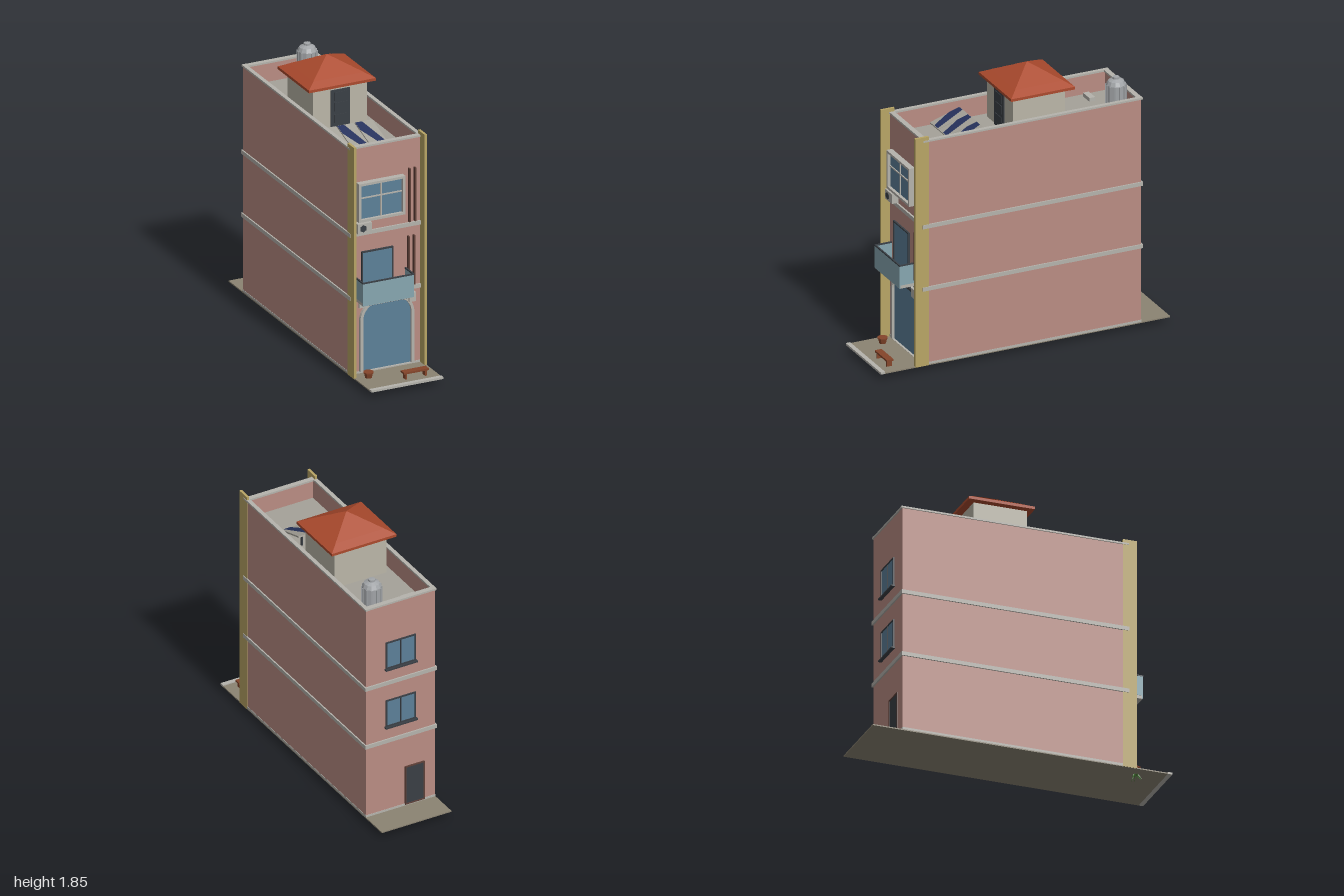
import * as THREE from 'three';

const C = {
  wall: 0xb98c83, trim: 0xb5b3ac, yellow: 0xb8a565, glass: 0x5c8098, paleGlass: 0x86a6b0, dark: 0x3a3f45,
  roof: 0xab4a2d, cream: 0xbab6a8, deck: 0xa5a299, ground: 0x8b8372, wood: 0x84452a, slat: 0x5e4038,
  panel: 0x26325c, tank: 0xa2a5a8, leaf: 0x3c6b2c,
};
const mats = {};
const mat = (c) => (mats[c] ??= new THREE.MeshStandardMaterial({ color: C[c], flatShading: true, side: THREE.DoubleSide }));

function add(parent, name, geo, color, x = 0, y = 0, z = 0) {
  const m = new THREE.Mesh(geo, mat(color));
  m.name = name;
  m.position.set(x, y, z);
  parent.add(m);
  return m;
}
// Box given by its lower and upper limits on each axis
function box(parent, name, color, x0, x1, y0, y1, z0, z1) {
  return add(parent, name, new THREE.BoxGeometry(x1 - x0, y1 - y0, z1 - z0), color, (x0 + x1) / 2, (y0 + y1) / 2, (z0 + z1) / 2);
}
function group(parent, name) {
  const g = new THREE.Group();
  g.name = name;
  parent.add(g);
  return g;
}
// Four bars around a rectangular opening
function frame(parent, name, color, x0, x1, y0, y1, z0, z1, t) {
  box(parent, name, color, x0, x0 + t, y0, y1, z0, z1);
  box(parent, name, color, x1 - t, x1, y0, y1, z0, z1);
  box(parent, name, color, x0 + t, x1 - t, y0, y0 + t, z0, z1);
  box(parent, name, color, x0 + t, x1 - t, y1 - t, y1, z0, z1);
}
function archShape(r, spring, rise, base) {
  const s = new THREE.Shape();
  s.moveTo(-r, base);
  s.lineTo(r, base);
  s.lineTo(r, spring);
  s.absellipse(0, spring, r, rise, 0, Math.PI, false);
  s.lineTo(-r, base);
  return s;
}

const FRONT = 0.70, BACK = -0.80, DECK = 1.45, TOP = 1.575;

function buildShell(root) {
  const g = group(root, 'buildingShell');
  box(g, 'ground', 'ground', -0.25, 0.25, 0.05, 0.058, -1, 0.97);
  box(g, 'curb', 'trim', -0.25, 0.25, 0.05, 0.064, 0.97, 1);
  box(g, 'walls', 'wall', -0.248, 0.248, 0.058, DECK - 0.004, BACK, FRONT);
  box(g, 'roofDeck', 'deck', -0.23, 0.23, DECK - 0.004, DECK, BACK + 0.02, FRONT - 0.02);
  box(g, 'plinth', 'trim', -0.25, 0.25, 0.056, 0.072, BACK - 0.003, FRONT + 0.003);
  for (const y of [0.575, 1.0]) box(g, 'floorBand', 'trim', -0.257, 0.257, y - 0.013, y + 0.013, BACK - 0.01, FRONT + 0.012);
  // Parapet with its coping
  for (const s of [-1, 1]) {
    const a = s < 0 ? -0.248 : 0.228, c = s < 0 ? -0.255 : 0.228;
    box(g, 'parapetSide', 'wall', a, a + 0.02, DECK - 0.004, TOP, BACK, FRONT);
    box(g, 'copingSide', 'trim', c, c + 0.027, TOP, TOP + 0.012, BACK - 0.01, FRONT + 0.008);
    box(g, 'pilaster', 'yellow', s < 0 ? -0.253 : 0.236, s < 0 ? -0.236 : 0.253, 0.052, 1.61, 0.67, 0.763);
  }
  for (const [name, z] of [['Back', BACK], ['Front', FRONT - 0.02]]) {
    box(g, 'parapet' + name, 'wall', -0.228, 0.228, DECK - 0.004, TOP, z, z + 0.02);
    box(g, 'coping' + name, 'trim', -0.228, 0.228, TOP, TOP + 0.012, z - 0.008, z + 0.026);
  }
}

function buildFront(root) {
  const g = group(root, 'frontFacade');
  // Arched entrance
  add(g, 'entranceGlass', new THREE.ExtrudeGeometry(archShape(0.167, 0.42, 0.125, 0.072), { depth: 0.005, bevelEnabled: false, curveSegments: 10 }), 'glass', 0, 0, FRONT);
  const surround = archShape(0.187, 0.42, 0.138, 0.072);
  surround.holes.push(archShape(0.167, 0.42, 0.125, 0.073));
  add(g, 'entranceSurround', new THREE.ExtrudeGeometry(surround, { depth: 0.02, bevelEnabled: false, curveSegments: 10 }), 'trim', 0, 0, FRONT);
  box(g, 'archShoulder', 'trim', -0.19, -0.12, 0.5, 0.55, FRONT, FRONT + 0.015);
  box(g, 'archShoulder', 'trim', 0.12, 0.19, 0.5, 0.55, FRONT, FRONT + 0.015);
  box(g, 'entranceCanopy', 'dark', -0.135, 0.13, 0.515, 0.53, FRONT, FRONT + 0.035);
  box(g, 'wallUnit', 'trim', 0.145, 0.19, 0.49, 0.55, FRONT, FRONT + 0.04);
  // Balcony and its door
  box(g, 'balconyDoorGlass', 'glass', -0.165, 0.04, 0.59, 0.87, FRONT, FRONT + 0.006);
  frame(g, 'balconyDoorFrame', 'dark', -0.173, 0.046, 0.588, 0.876, FRONT, FRONT + 0.012, 0.009);
  box(g, 'balconySlab', 'trim', -0.215, 0.136, 0.553, 0.575, FRONT, 0.815);
  box(g, 'balconyFrontGlass', 'paleGlass', -0.217, 0.138, 0.555, 0.705, 0.81, 0.816);
  box(g, 'balconyFrontRail', 'dark', -0.219, 0.14, 0.705, 0.713, 0.808, 0.818);
  for (const x of [-0.217, 0.132]) {
    box(g, 'balconySideGlass', 'paleGlass', x, x + 0.006, 0.575, 0.705, FRONT, 0.81);
    box(g, 'balconySideRail', 'dark', x - 0.002, x + 0.008, 0.705, 0.713, FRONT, 0.81);
  }
  // Projecting upper window
  box(g, 'upperWindowGlass', 'glass', -0.195, 0.1, 1.1, 1.335, FRONT, FRONT + 0.02);
  frame(g, 'upperWindowFrame', 'trim', -0.207, 0.115, 1.088, 1.347, FRONT, FRONT + 0.04, 0.016);
  box(g, 'upperWindowMullion', 'trim', -0.05, -0.042, 1.104, 1.331, FRONT, FRONT + 0.027);
  box(g, 'upperWindowTransom', 'trim', -0.191, 0.099, 1.24, 1.248, FRONT, FRONT + 0.027);
  // Air conditioner with a hexagonal fan grille
  box(g, 'airConditioner', 'trim', -0.217, -0.118, 1.015, 1.08, FRONT, FRONT + 0.045);
  const fan = add(g, 'airConditionerFan', new THREE.CylinderGeometry(0.024, 0.024, 0.004, 6), 'dark', -0.18, 1.047, FRONT + 0.046);
  fan.rotation.x = Math.PI / 2;
  // Vertical timber fins
  for (const [y0, y1, x0] of [[0.595, 0.925, 0.15], [1.02, 1.38, 0.157]])
    for (const x of [x0, x0 + 0.039]) box(g, 'timberFin', 'slat', x - 0.005, x + 0.005, y0, y1, FRONT, FRONT + 0.022);
}

function buildBack(root) {
  const g = group(root, 'backFacade');
  for (const y of [0.685, 1.11]) {
    box(g, 'backWindowGlass', 'glass', -0.1, 0.1, y, y + 0.18, BACK - 0.004, BACK);
    frame(g, 'backWindowFrame', 'dark', -0.108, 0.108, y - 0.004, y + 0.188, BACK - 0.009, BACK, 0.008);
    box(g, 'backWindowMullion', 'dark', -0.004, 0.004, y, y + 0.18, BACK - 0.008, BACK);
    box(g, 'backWindowSill', 'dark', -0.115, 0.115, y - 0.014, y - 0.004, BACK - 0.022, BACK);
  }
  box(g, 'backDoor', 'dark', -0.163, -0.037, 0.072, 0.338, BACK - 0.005, BACK);
  frame(g, 'backDoorFrame', 'slat', -0.17, -0.03, 0.066, 0.345, BACK - 0.009, BACK, 0.008);
}

function buildStairHouse(root) {
  const g = group(root, 'stairHouse');
  box(g, 'stairHouseWalls', 'cream', -0.187, 0.187, DECK, 1.735, -0.302, 0.055);
  box(g, 'stairHouseDoor', 'dark', -0.065, 0.065, DECK, 1.7, 0.055, 0.064);
  for (const y of [1.48, 1.56, 1.63]) box(g, 'doorPanel', 'dark', -0.045, 0.045, y, y + 0.055, 0.064, 0.068);
  // Hip roof in four tile courses, each lapping the one below
  const n = 4, y0 = 1.742, h = 0.123;
  box(g, 'roofEave', 'roof', -0.232, 0.232, 1.724, 1.742, -0.35, 0.09);
  for (let i = 0; i < n; i++) {
    const lap = i ? 0.012 : 0;
    const geo = new THREE.CylinderGeometry((1 - (i + 1) / n) * Math.SQRT1_2, (1 - i / n + lap) * Math.SQRT1_2, h / n, 4, 1);
    geo.rotateY(Math.PI / 4).scale(0.464, 1, 0.44);
    add(g, 'roofTileCourse', geo, 'roof', 0, y0 + h * (i + 0.5) / n, -0.13);
  }
}

function buildRoofItems(root) {
  // Ribbed water tank on a square base
  const tank = group(root, 'waterTank');
  tank.position.set(0.137, DECK, -0.68);
  box(tank, 'tankBase', 'dark', -0.06, 0.06, 0, 0.03, -0.06, 0.06);
  const profile = [[0, 0.03], [0.062, 0.03], [0.062, 0.21], [0.05, 0.235], [0.022, 0.247], [0.022, 0.26], [0, 0.262]];
  add(tank, 'tankBody', new THREE.LatheGeometry(profile.map((p) => new THREE.Vector2(...p)), 12), 'tank');
  for (let i = 0; i < 12; i++) {
    const a = (i / 12) * Math.PI * 2;
    const rib = add(tank, 'tankRib', new THREE.BoxGeometry(0.008, 0.18, 0.008), 'tank', Math.sin(a) * 0.063, 0.12, Math.cos(a) * 0.063);
    rib.rotation.y = a;
  }
  box(root, 'roofHatch', 'trim', -0.2, -0.107, DECK, DECK + 0.025, -0.655, -0.615);
  // Solar panels raised at the back
  const solar = group(root, 'solarPanels');
  solar.position.set(-0.045, DECK + 0.045, 0.325);
  solar.rotation.x = 0.3;
  for (let i = -1; i <= 1; i++) {
    box(solar, 'panelFrame', 'deck', i * 0.125 - 0.06, i * 0.125 + 0.06, -0.006, 0.004, -0.108, 0.108);
    const s = new THREE.Shape([[-0.06, 0.105], [-0.012, 0.105], [0.05, -0.105], [0, -0.105], [-0.06, 0.03]].map((p) => new THREE.Vector2(...p)));
    const cells = add(solar, 'panelCells', new THREE.ShapeGeometry(s), 'panel', i * 0.125, 0.006, 0);
    cells.rotation.x = -Math.PI / 2;
  }
  for (const x of [-0.2, 0.11]) box(root, 'panelLeg', 'dark', x - 0.005, x + 0.005, DECK, DECK + 0.07, 0.23, 0.24);
}

function buildForecourt(root) {
  const bench = group(root, 'bench');
  box(bench, 'benchSeat', 'wood', 0.013, 0.186, 0.095, 0.107, 0.88, 0.927);
  for (const x of [0.025, 0.162]) box(bench, 'benchLeg', 'wood', x, x + 0.012, 0.058, 0.095, 0.885, 0.922);
  // Pot with drooping leaves
  const plant = group(root, 'pottedPlant');
  plant.position.set(-0.165, 0, 0.787);
  add(plant, 'pot', new THREE.CylinderGeometry(0.03, 0.022, 0.035, 8), 'wood', 0, 0.075, 0);
  add(plant, 'potRim', new THREE.CylinderGeometry(0.034, 0.034, 0.008, 8), 'wood', 0, 0.094, 0);
  for (let i = 0; i < 9; i++) {
    const pivot = group(plant, 'leaf');
    pivot.rotation.y = i * 2.4;
    const long = i % 3 ? 0.045 : 0.028;
    const leaf = add(pivot, 'leafBlade', new THREE.ConeGeometry(0.009, 0.05, 4).scale(1, 1, 0.3), 'leaf', long * 0.55, 0.035, 0);
    leaf.rotation.z = Math.PI + (long > 0.03 ? 0.75 : 0.3);
  }
}

export function createModel() {
  const root = new THREE.Group();
  root.name = 'townhouse';
  for (const build of [buildShell, buildFront, buildBack, buildStairHouse, buildRoofItems, buildForecourt]) build(root);
  // Stand the lowest leaf tip on the ground plane
  const low = new THREE.Box3().setFromObject(root, true).min.y;
  root.children.forEach((c) => { c.position.y -= low; });
  return root;
}
